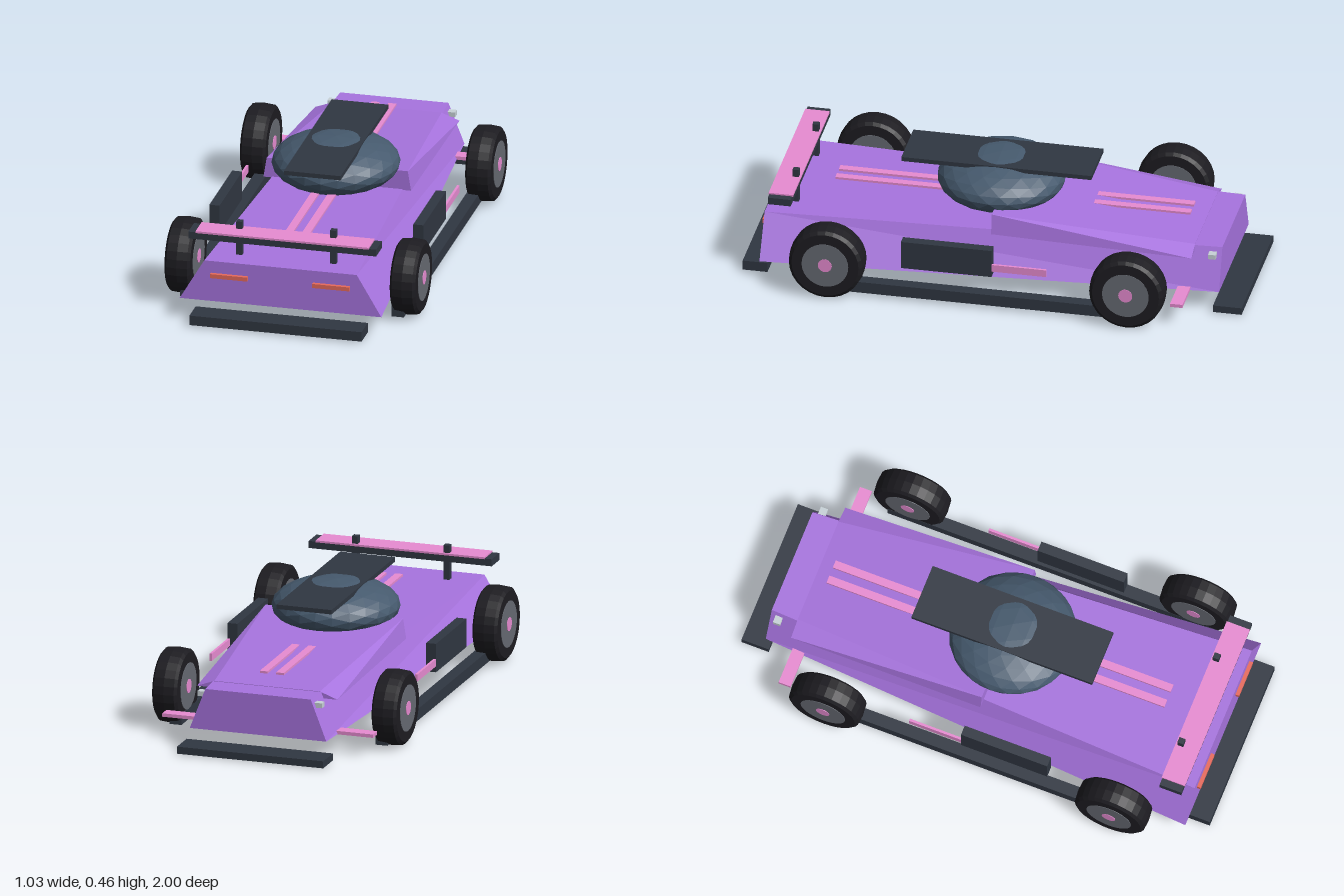
import * as THREE from 'three';

const mat = (color, flatShading = true) => {
  const m = new THREE.MeshStandardMaterial({ flatShading });
  m.color.set(color);
  return m;
};
const purple = mat(0xa874e0), pink = mat(0xe88cd2), dark = mat(0x303742), glass = mat(0x465a6e);
const rubber = mat(0x1d1c21), rim = mat(0x666a72), coral = mat(0xe86a5c), lamp = mat(0xc8d2d8);

export function createModel() {
  const model = new THREE.Group();

  const add = (name, geometry, material, parent = model) => {
    const mesh = new THREE.Mesh(geometry, material);
    mesh.name = name;
    parent.add(mesh);
    return mesh;
  };

  // Box given by its limits on each axis
  const box = (name, material, [x0, x1], [y0, y1], [z0, z1]) => {
    const g = new THREE.BoxGeometry(x1 - x0, y1 - y0, z1 - z0);
    g.translate((x0 + x1) / 2, (y0 + y1) / 2, (z0 + z1) / 2);
    return add(name, g, material);
  };
  // The same box on both sides of the car
  const pair = (name, material, [x0, x1], y, z) => {
    box('left' + name, material, [x0, x1], y, z);
    box('right' + name, material, [-x1, -x0], y, z);
  };

  // Tapered block between two trapezoid ends: [z, bottomHalf, bottomY, topHalf, topY]
  const wedge = (front, rear) => {
    const points = [front, rear].flatMap(([z, b, by, t, ty]) =>
      [-b, by, z, b, by, z, t, ty, z, -t, ty, z]);
    const g = new THREE.BufferGeometry();
    g.setAttribute('position', new THREE.Float32BufferAttribute(points, 3));
    g.setIndex([
      0, 1, 2, 0, 2, 3, 5, 4, 7, 5, 7, 6, // ends
      3, 2, 6, 3, 6, 7, 4, 5, 1, 4, 1, 0, // top, bottom
      1, 5, 2, 2, 5, 6, 0, 3, 4, 3, 7, 4, // sides
    ]);
    const flat = g.toNonIndexed();
    flat.computeVertexNormals();
    return flat;
  };

  // Main shell and sloping deck
  add('body', wedge([0.92, 0.41, 0.085, 0.31, 0.255], [-0.905, 0.285, 0.085, 0.22, 0.252]), purple);
  add('deck', wedge([0.01, 0.3, 0.25, 0.287, 0.332], [-0.795, 0.293, 0.227, 0.22, 0.254]), purple);

  // Canopy with roof panel
  const dome = new THREE.IcosahedronGeometry(1, 3);
  dome.scale(0.255, 0.106, 0.255);
  dome.translate(0, 0.356, 0.03);
  add('canopy', dome, glass);
  box('roofPanel', dark, [-0.115, 0.115], [0.435, 0.453], [-0.355, 0.41]);

  // Stripes along the top
  pair('Stripe', pink, [0.018, 0.05], [0.288, 0.297], [-0.74, 0.69]);

  // Wing on two posts
  box('wing', dark, [-0.382, 0.382], [0.33, 0.359], [0.8, 0.892]);
  box('wingTrim', pink, [-0.352, 0.352], [0.357, 0.365], [0.797, 0.895]);
  pair('WingPost', dark, [0.179, 0.203], [0.25, 0.396], [0.805, 0.83]);

  // Bumpers
  box('frontBumper', dark, [-0.35, 0.35], [0.007, 0.047], [0.9, 1]);
  box('rearBumper', dark, [-0.305, 0.305], [0.004, 0.033], [-1, -0.885]);

  // Lights
  pair('LightBar', coral, [0.132, 0.283], [0.188, 0.205], [0.9, 0.935]);
  pair('Headlamp', lamp, [0.223, 0.26], [0.214, 0.234], [-0.885, -0.855]);

  // Sills, side pods and trim
  pair('Sill', dark, [0.405, 0.455], [0.015, 0.062], [-0.66, 0.735]);
  pair('SidePod', dark, [0.394, 0.435], [0.133, 0.25], [-0.02, 0.345]);
  pair('SideTrim', pink, [0.424, 0.434], [0.157, 0.187], [-0.24, 0]);
  pair('Canard', pink, [0.26, 0.44], [0.083, 0.097], [-0.79, -0.74]);

  // Wheels: tyre, rim and cap along x
  const disc = (radius, width) =>
    new THREE.CylinderGeometry(radius, radius, width, 28).rotateZ(Math.PI / 2);
  const tyre = new THREE.LatheGeometry([
    [0, -0.052], [0.135, -0.052], [0.148, -0.042], [0.152, 0],
    [0.148, 0.042], [0.135, 0.052], [0, 0.052],
  ].map(([r, h]) => new THREE.Vector2(r, h)), 28).rotateZ(Math.PI / 2);
  for (const [end, z] of [['front', 0.635], ['rear', -0.575]]) {
    for (const [side, s] of [['Left', 1], ['Right', -1]]) {
      const wheel = new THREE.Group();
      wheel.name = end + side + 'Wheel';
      wheel.position.set(s * 0.458, 0.152, z);
      add('tyre', tyre, rubber, wheel);
      add('rim', disc(0.094, 0.108), rim, wheel);
      add('hubCap', disc(0.028, 0.112), pink, wheel);
      model.add(wheel);
    }
  }

  return model;
}
